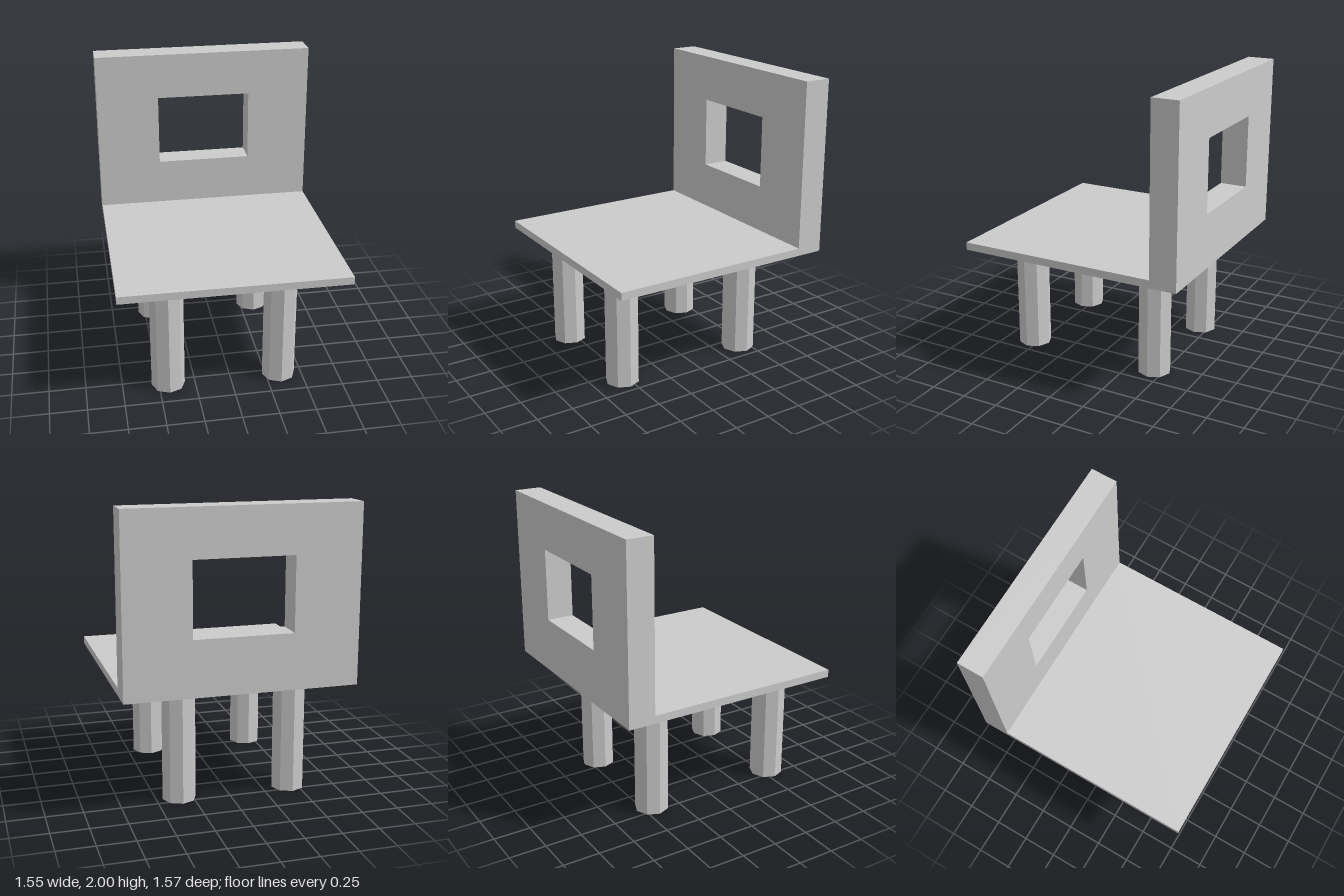
import * as THREE from 'three';

const material = new THREE.MeshStandardMaterial({ color: 0xcccccc, flatShading: true });

const HALF_W = 0.775;      // half width of seat and back
const FRONT = 0.785;       // front edge of seat
const REAR = -0.785;       // rear face of back
const BACK_FACE = -0.6;    // front face of back
const SEAT_BOTTOM = 0.807;
const SEAT_TOP = 0.86;

function addMesh(parent, name, geometry, x, y, z) {
  const mesh = new THREE.Mesh(geometry, material);
  mesh.name = name;
  mesh.position.set(x, y, z);
  parent.add(mesh);
  return mesh;
}

function rectangle(PathType, x0, y0, x1, y1) {
  return new PathType([
    new THREE.Vector2(x0, y0),
    new THREE.Vector2(x1, y0),
    new THREE.Vector2(x1, y1),
    new THREE.Vector2(x0, y1),
  ]);
}

export function createModel() {
  const chair = new THREE.Group();
  chair.name = 'chair';

  // Thin seat, meeting the front face of the back
  const seatDepth = FRONT - BACK_FACE;
  addMesh(chair, 'seat',
    new THREE.BoxGeometry(HALF_W * 2, SEAT_TOP - SEAT_BOTTOM, seatDepth),
    0, (SEAT_TOP + SEAT_BOTTOM) / 2, BACK_FACE + seatDepth / 2);

  // Thick backrest with a rectangular opening
  const panel = rectangle(THREE.Shape, -HALF_W, SEAT_BOTTOM, HALF_W, 2);
  panel.holes.push(rectangle(THREE.Path, -0.333, 1.183, 0.333, 1.68));
  addMesh(chair, 'backrest',
    new THREE.ExtrudeGeometry(panel, { depth: BACK_FACE - REAR, bevelEnabled: false }),
    0, 0, REAR);

  // Four octagonal legs, set slightly off centre
  const legGeometry = new THREE.CylinderGeometry(0.115, 0.115, SEAT_BOTTOM, 8);
  for (const [side, x] of [['Right', -0.435], ['Left', 0.341]]) {
    for (const [end, z] of [['front', 0.539], ['rear', -0.432]]) {
      addMesh(chair, `${end}${side}Leg`, legGeometry, x, SEAT_BOTTOM / 2, z);
    }
  }

  return chair;
}
